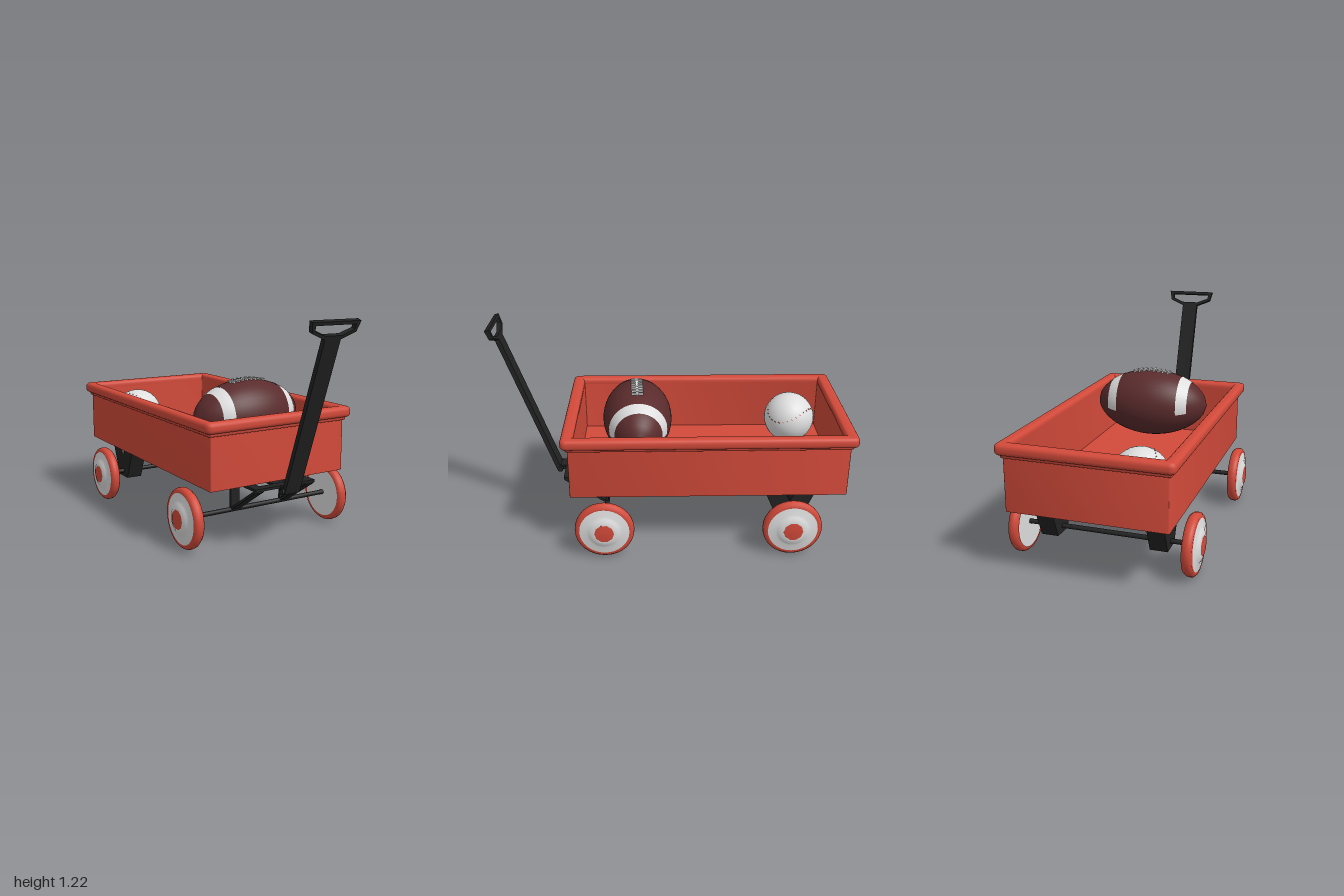
import * as THREE from 'three';
import { toCreasedNormals } from 'three/addons/utils/BufferGeometryUtils.js';

const mat = (name, color, side = THREE.FrontSide) => {
  const m = new THREE.MeshStandardMaterial({ color, side });
  m.name = name;
  return m;
};

export function createModel() {
  const red = mat('wagon red', 0xd24a3a);
  const black = mat('black metal', 0x222222);
  const white = mat('white', 0xdedede);
  const brown = mat('leather brown', 0x5a2b2c);

  const model = new THREE.Group();
  model.name = 'wagon';
  // The wagon is turned very slightly on its centre.
  const wagon = new THREE.Group();
  wagon.name = 'wagonBody';
  wagon.position.z = -0.195;
  wagon.rotation.y = 0.017;
  model.add(wagon);

  const add = (parent, name, geo, material, x = 0, y = 0, z = 0) => {
    const m = new THREE.Mesh(geo, material);
    m.name = name;
    m.position.set(x, y, z);
    parent.add(m);
    return m;
  };
  const box = (w, h, d) => new THREE.BoxGeometry(w, h, d);
  const poly = (pts) => new THREE.Shape(pts.map(([x, y]) => new THREE.Vector2(x, y)));
  const lathe = (pts, seg = 32, start = 0, len = Math.PI * 2) =>
    new THREE.LatheGeometry(pts.map(([r, y]) => new THREE.Vector2(r, y)), seg, start, len).rotateZ(-Math.PI / 2);
  const rect = (w, d, r) => {
    const s = new THREE.Shape(), x = w / 2, y = d / 2;
    s.moveTo(-x + r, -y).lineTo(x - r, -y).quadraticCurveTo(x, -y, x, -y + r);
    s.lineTo(x, y - r).quadraticCurveTo(x, y, x - r, y);
    s.lineTo(-x + r, y).quadraticCurveTo(-x, y, -x, y - r);
    s.lineTo(-x, -y + r).quadraticCurveTo(-x, -y, -x + r, -y);
    return s;
  };
  // Upright ring: outer rectangle minus inner rectangle.
  const ring = (w, d, iw, id, h, bevel) => {
    const s = rect(w - 2 * bevel, d - 2 * bevel, 0.012);
    s.holes.push(rect(iw + 2 * bevel, id + 2 * bevel, 0.006));
    const g = new THREE.ExtrudeGeometry(s, {
      depth: h - 2 * bevel, bevelEnabled: bevel > 0, bevelSize: bevel,
      bevelThickness: bevel, bevelSegments: 4, curveSegments: 4,
    });
    return toCreasedNormals(g.rotateX(-Math.PI / 2).translate(0, bevel, 0), 0.7);
  };

  // Tray
  add(wagon, 'trayWalls', ring(0.85, 1.525, 0.79, 1.46, 0.33, 0), red, 0, 0.345, 0);
  add(wagon, 'trayFloor', box(0.82, 0.03, 1.49), red, 0, 0.3605, 0);
  add(wagon, 'trayRim', ring(0.92, 1.595, 0.79, 1.46, 0.06, 0.022), red, 0, 0.645, 0);
  add(wagon, 'rimLip', ring(0.875, 1.55, 0.80, 1.47, 0.03, 0.008), red, 0, 0.628, 0);

  // Wheels and axles
  const wheel = (x, z) => {
    const g = new THREE.Group();
    g.name = 'wheel';
    g.position.set(x, 0.165, z);
    if (x < 0) g.rotation.y = Math.PI;
    add(g, 'tire', lathe([[0.138, -0.03], [0.152, -0.03], [0.163, -0.016], [0.165, 0], [0.163, 0.013], [0.152, 0.025], [0.138, 0.025]]), red);
    add(g, 'outerDisc', lathe([[0.147, 0.022], [0.1, 0.03], [0.085, 0.036], [0.07, 0.044], [0.05, 0.047], [0, 0.047]]), white);
    add(g, 'innerDisc', lathe([[0, -0.026], [0.146, -0.026]]), white);
    add(g, 'hubCap', lathe([[0.055, 0.045], [0.053, 0.049], [0, 0.051]], 10), red);
    wagon.add(g);
  };
  const frontZ = 0.575, rearZ = -0.465;
  for (const z of [frontZ, rearZ]) {
    for (const x of [-0.47, 0.47]) wheel(x, z);
    add(wagon, 'axle', new THREE.CylinderGeometry(0.013, 0.013, 0.92, 10).rotateZ(Math.PI / 2), black, 0, 0.165, z);
  }

  // Rear V-shaped brackets, drawn in the side plane
  const vShape = poly([[-0.155, 0.35], [-0.06, 0.13], [0.06, 0.13], [0.155, 0.35], [0.045, 0.35], [0, 0.26], [-0.045, 0.35]]);
  for (const x of [-0.3, 0.3]) {
    const g = new THREE.ExtrudeGeometry(vShape, { depth: 0.095, bevelEnabled: false });
    add(wagon, 'rearBracket', g.translate(0, 0, -0.0475).rotateY(-Math.PI / 2), black, x, 0, rearZ);
  }

  // Front steering frame: open top plate, slanted legs down to the axle
  const plate = rect(0.38, 0.27, 0.004);
  plate.holes.push(rect(0.27, 0.17, 0.004));
  add(wagon, 'steeringPlate', new THREE.ExtrudeGeometry(plate, { depth: 0.014, bevelEnabled: false }).rotateX(-Math.PI / 2), black, 0, 0.322, 0.685);
  for (const x of [-0.162, 0.162]) {
    const leg = add(wagon, 'steeringLeg', box(0.056, 0.014, 0.28), black, x, 0.245, 0.693);
    leg.rotation.x = -0.585;
    add(wagon, 'steeringPost', box(0.056, 0.165, 0.014), black, x, 0.243, frontZ);
  }
  add(wagon, 'pivot', new THREE.CylinderGeometry(0.04, 0.04, 0.03, 12), black, 0, 0.335, frontZ);
  add(wagon, 'pivotBar', box(0.08, 0.012, 0.3), black, 0, 0.326, 0.7);

  // Hitch and pull handle
  add(wagon, 'hitch', box(0.06, 0.03, 0.07), black, 0, 0.316, 0.835);
  add(wagon, 'hitchPin', new THREE.CylinderGeometry(0.016, 0.016, 0.11, 10).rotateZ(Math.PI / 2), black, 0, 0.312, 0.855);
  const pull = poly([[-0.048, 0], [0.048, 0], [0.048, 0.87], [0.132, 0.905], [0.145, 0.962], [-0.145, 0.962], [-0.132, 0.905], [-0.048, 0.87]]);
  pull.holes.push(poly([[-0.05, 0.89], [-0.118, 0.918], [-0.12, 0.944], [0.12, 0.944], [0.118, 0.918], [0.05, 0.89]]));
  const handle = add(wagon, 'pullHandle', new THREE.ExtrudeGeometry(pull, { depth: 0.026, bevelEnabled: false }).translate(0, 0, -0.013), black, 0.003, 0.305, 0.858);
  handle.rotation.x = 0.342;

  // Football
  const football = new THREE.Group();
  football.name = 'football';
  football.position.set(0.036, 0.643, 0.197);
  football.rotation.y = 0.06;
  model.add(football);
  const radius = (x) => 0.196 * Math.pow(Math.max(0, 1 - (x / 0.337) ** 2), 0.58);
  const profile = (a, b, n, extra) => Array.from({ length: n + 1 }, (_, i) => {
    const x = a + (b - a) * i / n;
    return [radius(x) + extra, x];
  });
  add(football, 'footballSkin', lathe(profile(-0.337, 0.337, 32, 0), 40), brown);
  const stripeWhite = mat('white', 0xdedede);
  stripeWhite.side = THREE.DoubleSide;
  for (const s of [-1, 1]) {
    const a = s * 0.21 - 0.03;
    add(football, 'footballStripe', lathe(profile(a, a + 0.06, 4, 0.0025), 28, 1.5 * Math.PI - 1.75, 3.5), stripeWhite);
  }
  for (let i = 0; i < 8; i++) {
    const x = -0.1 + i * 0.2 / 7;
    add(football, 'lace', box(0.01, 0.012, 0.066), stripeWhite, x, radius(x) + 0.002, 0);
    add(football, 'laceStrip', box(0.03, 0.01, 0.014), stripeWhite, x, radius(x) + 0.003, 0);
  }

  // Baseball with a dashed seam
  const ball = new THREE.Group();
  ball.name = 'baseball';
  ball.position.set(-0.215, 0.522, -0.72);
  ball.rotation.set(0.4, 0.5, 0.3);
  model.add(ball);
  add(ball, 'ballSkin', new THREE.SphereGeometry(0.15, 32, 20), white);
  const seam = (t) => new THREE.Vector3(
    0.75 * Math.cos(t) + 0.25 * Math.cos(3 * t),
    0.75 * Math.sin(t) - 0.25 * Math.sin(3 * t),
    0.866 * Math.sin(2 * t)).normalize().multiplyScalar(0.1495);
  for (let i = 0; i < 56; i++) {
    const t = i / 56 * Math.PI * 2;
    const stitch = add(ball, 'stitch', box(0.01, 0.003, 0.004), red);
    stitch.position.copy(seam(t));
    stitch.up.copy(stitch.position).normalize();
    stitch.lookAt(seam(t + 0.02));
  }
  return model;
}
